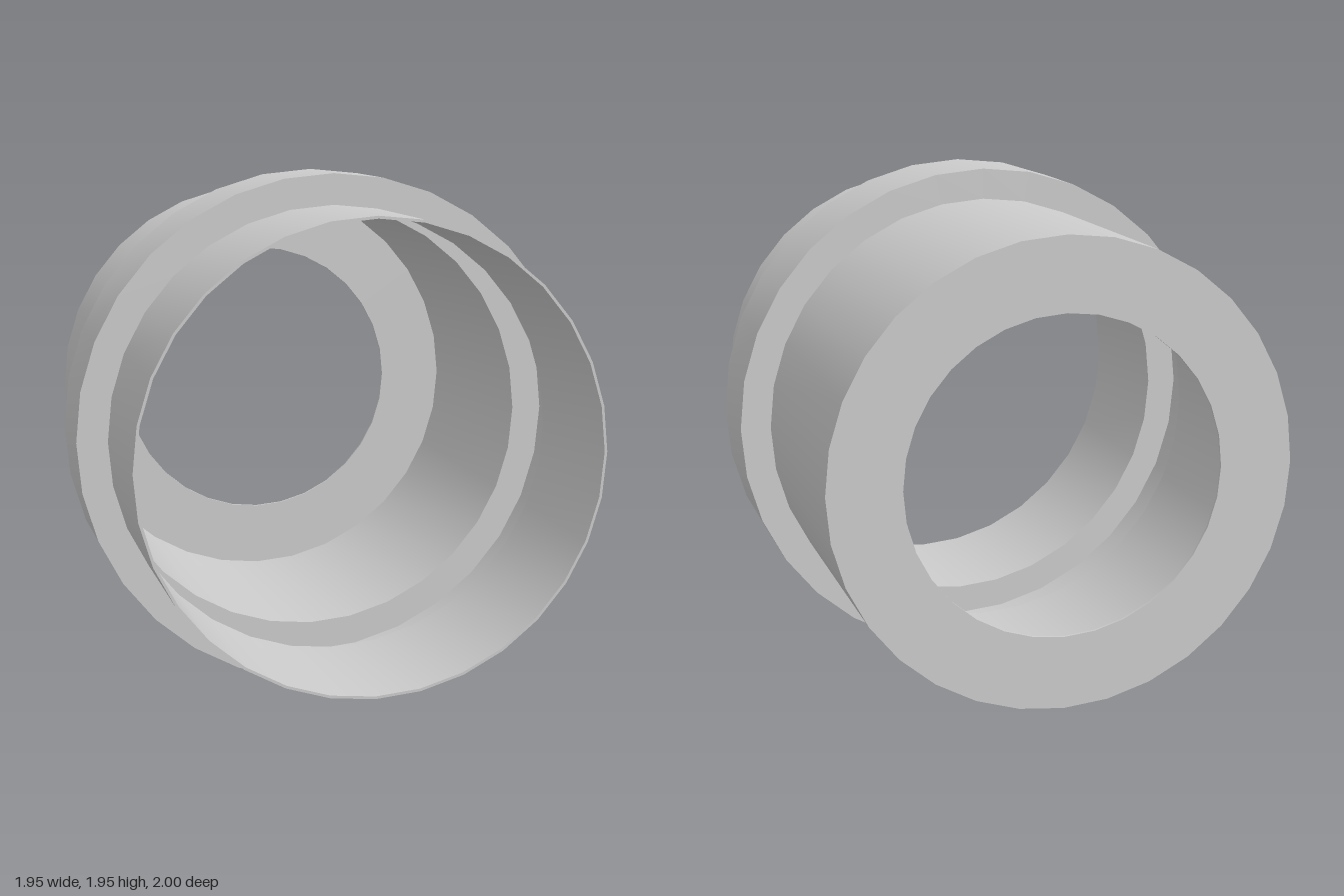
import * as THREE from 'three';
import { toCreasedNormals } from 'three/addons/utils/BufferGeometryUtils.js';

const SIDES = 32;
const WALL = 0.01;
const TUBE = 0.86; // outer radius of the sleeves
const COLLAR = 0.977; // outer radius of the collar
const BORE = 0.588; // radius of the rear opening
const Z0 = 0.02, Z1 = 0.39; // collar extent along the axis

const material = new THREE.MeshStandardMaterial({ color: 0xcccccc });

// Revolve a closed counter-clockwise [radius, z] section about the z axis
function revolve(name, section) {
  const points = [...section, section[0]].map(([r, z]) => new THREE.Vector2(r, z));
  const geometry = new THREE.LatheGeometry(points, SIDES).rotateX(Math.PI / 2);
  const mesh = new THREE.Mesh(toCreasedNormals(geometry, 0.6), material);
  mesh.name = name;
  mesh.position.y = COLLAR;
  return mesh;
}

export function createModel() {
  const group = new THREE.Group();
  group.name = 'pipeCoupling';

  // Thin sleeve, open at the front
  group.add(revolve('frontSleeve', [
    [TUBE - WALL, Z1 - WALL], [TUBE, Z1 - WALL], [TUBE, 1], [TUBE - WALL, 1],
  ]));

  // Hollow collar, open towards the inside of the pipe
  group.add(revolve('collar', [
    [TUBE, Z0], [COLLAR, Z0], [COLLAR, Z1], [TUBE, Z1],
    [TUBE, Z1 - WALL], [COLLAR - WALL, Z1 - WALL],
    [COLLAR - WALL, Z0 + WALL], [TUBE, Z0 + WALL],
  ]));

  // Thin sleeve with a rear end plate and round opening
  group.add(revolve('rearSleeve', [
    [BORE, -1], [TUBE, -1], [TUBE, Z0 + WALL], [TUBE - WALL, Z0 + WALL],
    [TUBE - WALL, -1 + WALL], [BORE, -1 + WALL],
  ]));

  return group;
}
